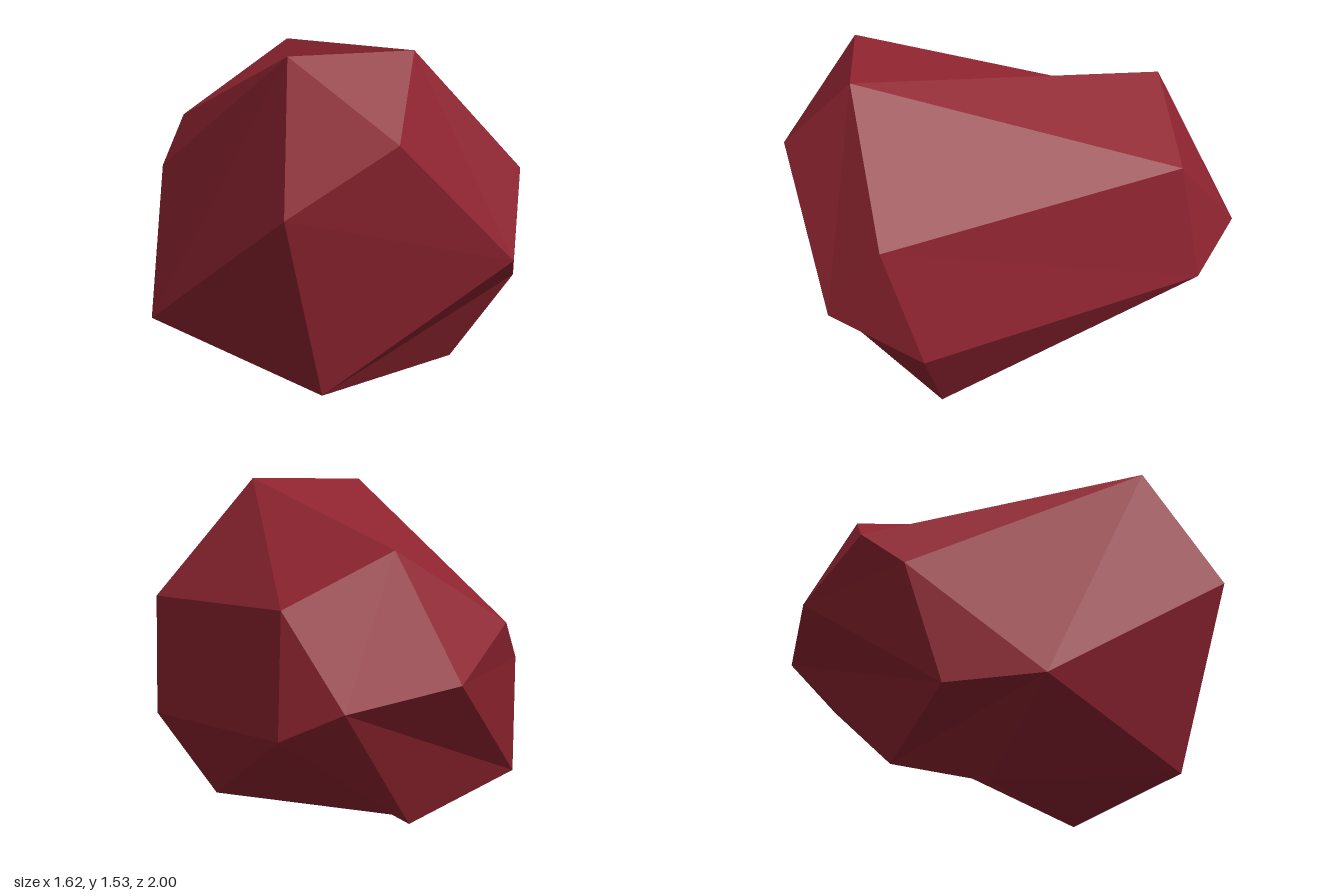
import * as THREE from 'three';

// Corner points of the stone
const P = {
  A: [-0.27, 1.52, 0.66], B: [0.26, 1.535, 0.70], C: [0.125, 1.20, 1.0], D: [0.765, 0.99, 0.62],
  E: [0.67, 0.64, 0.85], F: [0.805, 0.45, 0.45], G: [0.54, 0.05, 0.36], H: [-0.15, 0.07, 0.79],
  I: [-0.35, 0.91, 1.0], J: [-0.81, 0.26, 0.17], K: [-0.22, 0, -0.06], M: [-0.02, 1.38, -0.69],
  N: [0.48, 1.155, -0.71], O: [0.29, 0.77, -1.0], P: [0.52, 0.62, -0.80], Q: [-0.16, 0.10, -0.49],
  R: [-0.25, 0.83, -0.90], S: [-0.55, 1.03, -0.63], T: [-0.68, 0.825, -0.43], U: [-0.75, 0.235, -0.26],
};

// Facets as corner loops, grouped by side
const FACETS = [
  'BMS', 'ABS', 'BMND',                                   // top
  'ABCI', 'BDEC', 'ICEH', 'IHJ',                          // front
  'DNPF', 'DFE', 'FPG',                                   // +x side
  'NOP', 'MNO', 'MOR', 'MRS', 'RSTU', 'POQ', 'ORUQ',      // back
  'AIJ', 'AJT', 'TJU', 'ATS',                             // -x side
  'HEFG', 'GPK', 'GKH', 'PQK', 'QUJK', 'JHK',             // underside
];

// Fans each loop into triangles, turned to face away from the core
function facetGeometry(facets) {
  const core = new THREE.Vector3(0, 0.75, 0);
  const positions = [];
  for (const loop of facets) {
    for (let i = 1; i < loop.length - 1; i++) {
      const [a, b, c] = [loop[0], loop[i], loop[i + 1]].map((k) => new THREE.Vector3(...P[k]));
      const normal = b.clone().sub(a).cross(c.clone().sub(a));
      const outward = normal.dot(a.clone().sub(core)) > 0;
      for (const v of outward ? [a, b, c] : [a, c, b]) positions.push(v.x, v.y, v.z);
    }
  }
  const geometry = new THREE.BufferGeometry();
  geometry.setAttribute('position', new THREE.Float32BufferAttribute(positions, 3));
  geometry.computeVertexNormals();
  return geometry;
}

export function createModel() {
  const group = new THREE.Group();
  group.name = 'facetedStone';
  const darkRed = new THREE.MeshStandardMaterial({ color: 0x8f2430, flatShading: true });
  darkRed.name = 'darkRed';
  const stone = new THREE.Mesh(facetGeometry(FACETS), darkRed);
  stone.name = 'stone';
  group.add(stone);
  return group;
}
